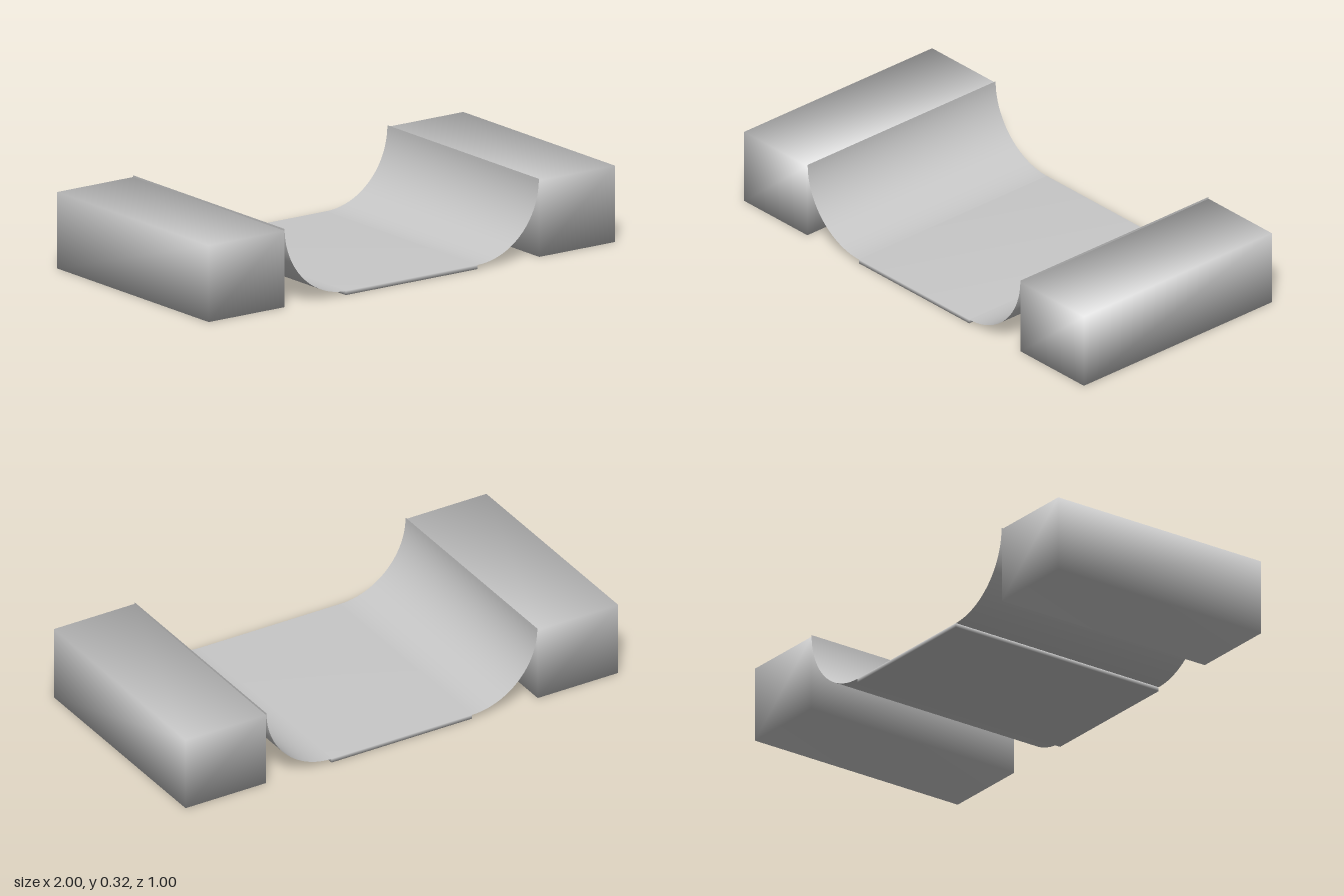
import * as THREE from 'three';
import { mergeVertices } from 'three/addons/utils/BufferGeometryUtils.js';

const DEPTH = 1;
const DECK_INNER = 0.628, DECK_TOP = 0.313;
const FLOOR_HALF = 0.325, FLOOR_TOP = 0.017;
const LIP_X = 0.626, LIP_TOP = 0.32;

// Box whose corners share one rounded normal
function softBox(x0, x1, height) {
  const box = new THREE.BoxGeometry(x1 - x0, height, DEPTH);
  box.deleteAttribute('normal');
  box.deleteAttribute('uv');
  const geometry = mergeVertices(box);
  geometry.computeVertexNormals();
  geometry.translate((x0 + x1) / 2, height / 2, 0);
  return geometry;
}

// Open quarter-round sheet rising from the floor edge to the lip
function curvedSheet(side, segments = 32) {
  const sheet = new THREE.PlaneGeometry(1, DEPTH, segments, 1);
  sheet.rotateX(-Math.PI / 2);
  const p = sheet.attributes.position;
  for (let i = 0; i < p.count; i++) {
    const t = side * p.getX(i) + 0.5;
    const a = t * Math.PI / 2;
    p.setXY(i,
      side * (FLOOR_HALF + (LIP_X - FLOOR_HALF) * Math.sin(a)),
      LIP_TOP - (LIP_TOP - FLOOR_TOP) * Math.cos(a));
  }
  sheet.computeVertexNormals();
  return sheet;
}

export function createModel() {
  const group = new THREE.Group();
  group.name = 'halfPipeRamp';
  const grey = new THREE.MeshStandardMaterial({ color: 0xc8c8c8, side: THREE.DoubleSide });
  grey.name = 'lightGrey';

  const add = (name, geometry) => {
    const mesh = new THREE.Mesh(geometry, grey);
    mesh.name = name;
    group.add(mesh);
  };

  // Flat bottom
  add('floor', softBox(-FLOOR_HALF, FLOOR_HALF, FLOOR_TOP));

  // Decks and curved transitions on both sides
  for (const side of [-1, 1]) {
    const label = side > 0 ? 'left' : 'right';
    const [x0, x1] = side > 0 ? [DECK_INNER, 1] : [-1, -DECK_INNER];
    add(label + 'Deck', softBox(x0, x1, DECK_TOP));
    add(label + 'Transition', curvedSheet(side));
  }
  return group;
}
